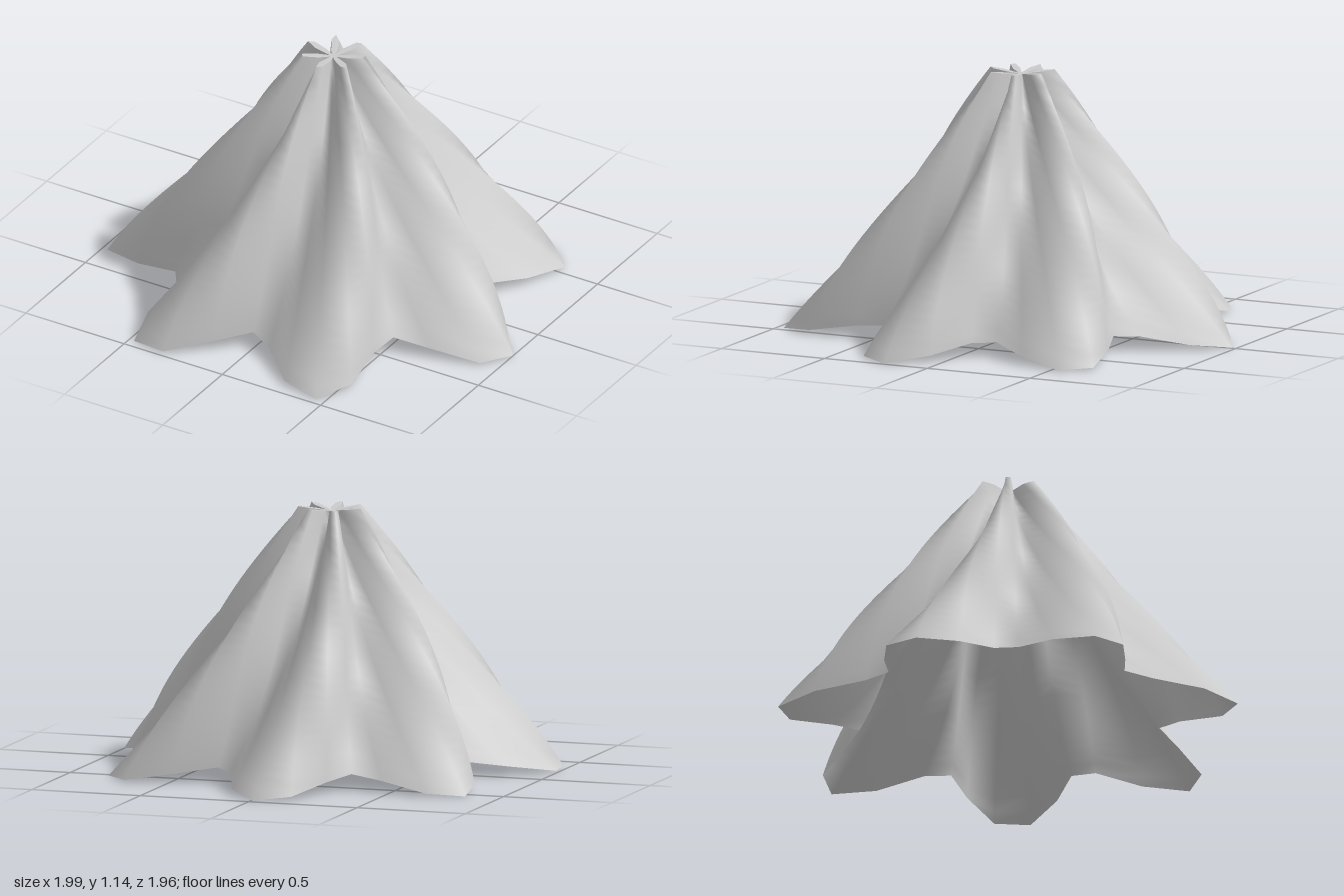
import * as THREE from 'three';

const SEGMENTS = 40;
const ROWS = 24;
const FOLDS = 7;
const HEIGHT = 1.145;
const TWIST = THREE.MathUtils.degToRad(26);

// Point on the pleated cloth: t runs 0 (top) to 1 (hem), angle starts at the back
function clothPoint(t, angle) {
  const wave = Math.cos(FOLDS * (angle + TWIST * (1 - t)) + 0.17);
  const radius = 0.08 + 0.77 * t + (0.068 + 0.112 * t) * wave;
  const lift = 0.035 * t - 0.009 * (1 - t); // valleys rise at the hem, sink at the top
  const y = HEIGHT * (1 - t) + lift * (1 - wave);
  return [radius * Math.sin(angle), y, -radius * Math.cos(angle)];
}

function ring(t) {
  return Array.from({ length: SEGMENTS }, (_, j) => clothPoint(t, (j / SEGMENTS) * Math.PI * 2));
}

function buildGeometry(points, index) {
  const geometry = new THREE.BufferGeometry();
  geometry.setAttribute('position', new THREE.Float32BufferAttribute(points.flat(), 3));
  geometry.setIndex(index);
  geometry.computeVertexNormals();
  return geometry;
}

export function createModel() {
  const group = new THREE.Group();
  group.name = 'pleatedTent';
  const cloth = new THREE.MeshStandardMaterial({ color: 0xcccccc, side: THREE.DoubleSide });
  cloth.name = 'light grey cloth';

  // Twisted, open-bottomed pleated skirt
  const points = [];
  const index = [];
  for (let i = 0; i <= ROWS; i++) points.push(...ring(i / ROWS));
  for (let i = 0; i < ROWS; i++) {
    for (let j = 0; j < SEGMENTS; j++) {
      const k = (j + 1) % SEGMENTS;
      const a = i * SEGMENTS + j;
      const b = i * SEGMENTS + k;
      const c = a + SEGMENTS;
      const d = b + SEGMENTS;
      index.push(a, b, c, b, d, c);
    }
  }
  const skirt = new THREE.Mesh(buildGeometry(points, index), cloth);
  skirt.name = 'pleatedSkirt';

  // Star-shaped cap closing the top
  const capIndex = [];
  for (let j = 0; j < SEGMENTS; j++) capIndex.push(SEGMENTS, (j + 1) % SEGMENTS, j);
  const cap = new THREE.Mesh(buildGeometry([...ring(0), [0, 1.127, 0]], capIndex), cloth);
  cap.name = 'topCap';

  group.add(skirt, cap);
  group.position.set(-0.01, 0, 0.05);
  return group;
}
